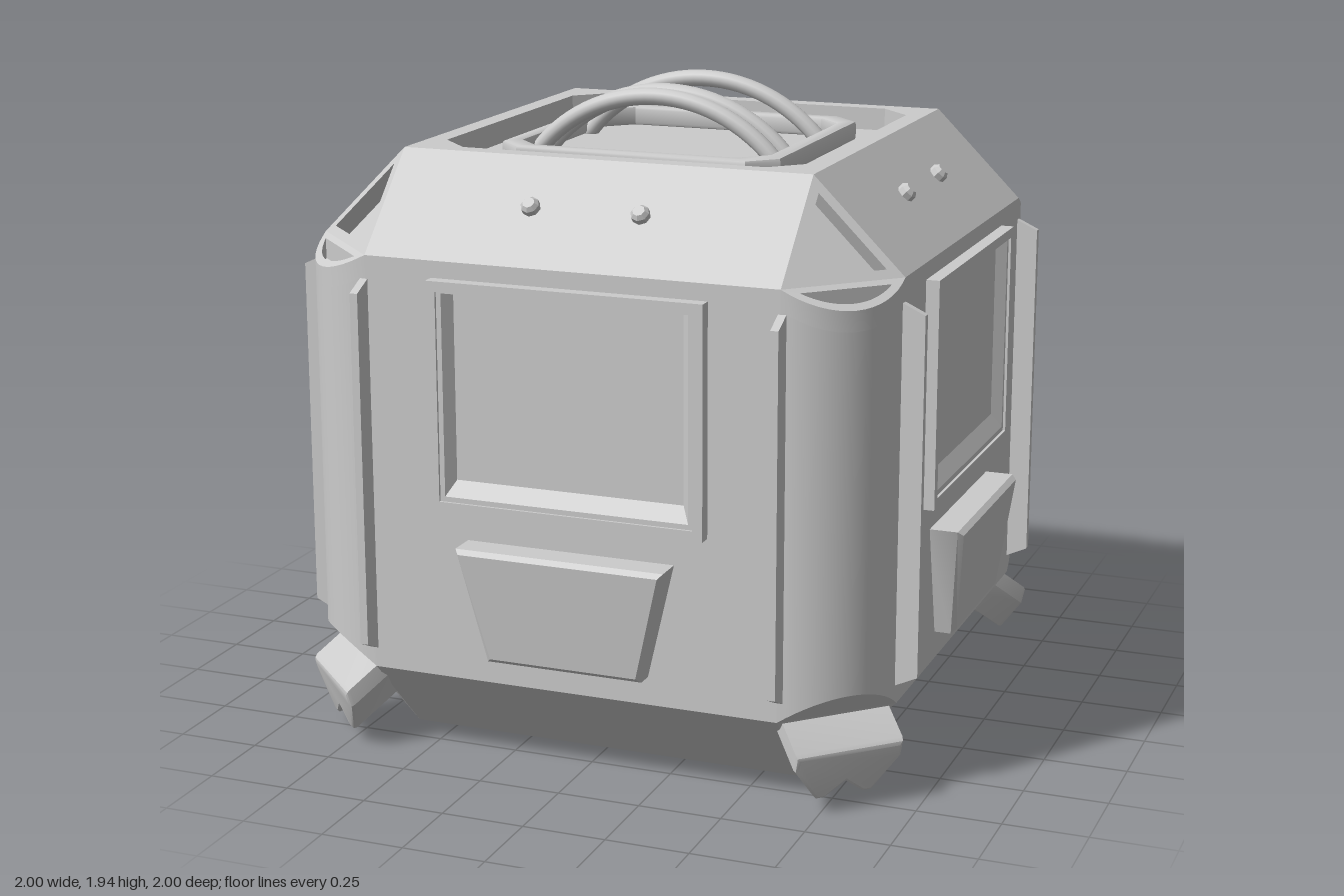
import * as THREE from 'three';
import { toCreasedNormals } from 'three/addons/utils/BufferGeometryUtils.js';

const IN = 0.63, W = 0.9;                    // inner (chamfered) and outer half widths
const Y0 = 0.27, Y1 = 1.52, Y2 = 1.79;       // chamfer heights
const CHORD = (IN + W) / Math.SQRT2;         // distance of the cut corner from the axis
const mat = new THREE.MeshStandardMaterial({ color: 0xcccccc });

function part(name, geo, crease = 0.5) {
  const m = new THREE.Mesh(toCreasedNormals(geo, crease), mat);
  m.name = name;
  return m;
}

// Joins closed rings of points; counter-clockwise seen from the side the rings advance to
function loft(rings, { cap = false, skip = () => false } = {}) {
  const pos = [], n = rings[0].length;
  const tri = (...p) => p.forEach(q => pos.push(...q));
  for (let r = 0; r < rings.length - 1; r++)
    for (let i = 0; i < n; i++) {
      if (skip(r, i)) continue;
      const j = (i + 1) % n, a = rings[r], b = rings[r + 1];
      tri(a[i], a[j], b[j]);
      tri(a[i], b[j], b[i]);
    }
  const last = rings[rings.length - 1];
  if (cap) for (let i = 1; i < n - 1; i++) tri(last[0], last[i], last[i + 1]);
  const g = new THREE.BufferGeometry();
  g.setAttribute('position', new THREE.Float32BufferAttribute(pos, 3));
  return g;
}

const toShape = pts => new THREE.Shape(pts.map(p => new THREE.Vector2(...p)));
function extrude(pts, depth, hole, bevel = 0) {
  const s = toShape(pts);
  if (hole) s.holes.push(toShape(hole));
  return new THREE.ExtrudeGeometry(s, {
    depth, bevelEnabled: bevel > 0, bevelSize: bevel, bevelThickness: bevel, bevelOffset: -bevel, bevelSegments: 2,
  }).deleteAttribute('uv');
}

function warp(geo, fn) {
  const p = geo.attributes.position, v = new THREE.Vector3();
  for (let i = 0; i < p.count; i++) {
    fn(v.fromBufferAttribute(p, i));
    p.setXYZ(i, v.x, v.y, v.z);
  }
  geo.computeVertexNormals();
  return geo;
}

const rect = (x, y0, y1) => [[-x, y0], [x, y0], [x, y1], [-x, y1]];
const octagon = (h, c) => [[-h + c, -h], [h - c, -h], [h, -h + c], [h, h - c], [h - c, h], [-h + c, h], [-h, h - c], [-h, -h + c]];

function shell() {
  const ring = (w, y) => [[-IN, y, w], [IN, y, w], [w, y, IN], [w, y, -IN], [IN, y, -w], [-IN, y, -w], [-w, y, -IN], [-w, y, IN]];
  // upper cut corners stay open for the recessed triangles
  return loft([ring(IN, 0), ring(W, Y0), ring(W, Y1), ring(IN, Y2)], { skip: (r, i) => r === 2 && i % 2 === 1 });
}

// Plan outline of a corner column: arc round (IN, IN)
function arc(radius, half) {
  return Array.from({ length: 17 }, (_, i) => {
    const a = Math.PI / 4 + half * (i / 8 - 1);
    return [IN + radius * Math.cos(a), IN + radius * Math.sin(a)];
  });
}

function cornerParts() {
  const g = new THREE.Group();
  g.name = 'corner';
  const slope = (geo, top) => warp(geo.rotateX(Math.PI / 2).translate(0, top, 0), v => {
    const bulge = (v.x + v.z) / Math.SQRT2 - CHORD;
    v.y += v.y > 0.9 ? -0.75 * bulge : bulge;
  });
  // rounded column with a slotted rim on top
  const outline = arc(W - IN, Math.PI / 4);
  g.add(part('cornerColumn', slope(extrude(outline, Y1 - 0.06 - Y0), Y1 - 0.06)));
  g.add(part('columnRim', slope(extrude(outline, 0.06, arc(0.25, 0.6)), Y1)));

  // triangular frame with recessed floor
  const R = (W - IN) * Math.SQRT2 / Math.sqrt(3);
  const tri = s => [90, 210, 330].map(d => [R * s * Math.cos(d * Math.PI / 180), R * s * Math.sin(d * Math.PI / 180)]);
  const basis = new THREE.Matrix4().makeBasis(
    new THREE.Vector3(1, 0, -1).normalize(), new THREE.Vector3(-1, 2, -1).normalize(), new THREE.Vector3(1, 1, 1).normalize());
  const c = (2 * IN + W) / 3;
  basis.setPosition(c, (2 * Y1 + Y2) / 3, c);
  g.add(part('triangleFrame', extrude(tri(1), 0.06, tri(0.74)).translate(0, 0, -0.06).applyMatrix4(basis)));
  g.add(part('triangleFloor', new THREE.ShapeGeometry(toShape(tri(0.9))).translate(0, 0, -0.05).applyMatrix4(basis)));

  // notched foot, sloping down and outward
  const sole = [[-0.17, 0.19], [-0.17, 0.14], [-0.09, 0.035], [-0.06, 0.035], [0, 0.08], [0.06, 0.035], [0.09, 0.035], [0.17, 0.14], [0.17, 0.19]];
  const foot = warp(extrude(sole, 0.25, null, 0.012), v => {
    const back = 0.262 - v.z;
    v.z = 1.174 - back - (0.19 - v.y) * 0.28;
    v.y += back * 0.75;
  });
  g.add(part('foot', foot.rotateY(Math.PI / 4)));
  return g;
}

function sideParts() {
  const g = new THREE.Group();
  g.name = 'side';
  // window frame with sloped inner lip
  g.add(part('windowFrame', extrude(rect(0.42, 0.79, 1.47), 0.045, rect(0.39, 0.82, 1.44)).translate(0, 0, 0.895)));
  const at = (pts, z) => pts.map(p => [...p, z]);
  g.add(part('windowLip', loft([
    at(rect(0.39, 0.82, 1.44), 0.932), at(rect(0.375, 0.835, 1.435), 0.932), at(rect(0.35, 0.88, 1.43), 0.902)]), 0.2));

  // tapered box below the window
  const trap = (inset, zt, zb) => [[-0.24 + inset, 0.355 + inset, zb], [0.24 - inset, 0.355 + inset, zb],
    [0.32 - inset, 0.70 - inset, zt], [-0.32 + inset, 0.70 - inset, zt]];
  g.add(part('lowerBox', loft([trap(0, 0.89, 0.89), trap(0, 0.985, 0.95), trap(0.013, 1, 0.965)], { cap: true }), 0.6));

  for (const s of [-1, 1]) {
    // upright fins beside the columns
    const fin = extrude([[0.88, 0.32], [0.965, 0.36], [0.965, 1.42], [0.88, 1.46]], 0.024);
    g.add(part('fin', fin.rotateY(-Math.PI / 2).translate(s * 0.635 + 0.012, 0, 0)));
    // bolts on the upper slope
    const bolt = part('bolt', new THREE.LatheGeometry(
      [[0.028, -0.01], [0.028, 0.018], [0.018, 0.03], [0, 0.03]].map(p => new THREE.Vector2(...p)), 8));
    bolt.position.set(s * 0.168, 1.662, IN + Y2 - 1.662);
    bolt.rotation.x = Math.PI / 4;
    g.add(bolt);
  }
  return g;
}

export function createModel() {
  const model = new THREE.Group();
  model.name = 'crate';
  model.add(part('bodyShell', shell()));
  model.add(part('base', new THREE.PlaneGeometry(2 * IN, 2 * IN).rotateX(Math.PI / 2)));

  // recessed roof with a raised ring
  const floorY = 1.72;
  const flat = (geo, y) => geo.rotateX(-Math.PI / 2).translate(0, y, 0);
  model.add(part('roofRim', flat(extrude(rect(IN, -IN, IN), Y2 - floorY, octagon(0.57, 0.1)), floorY)));
  model.add(part('roofFloor', flat(new THREE.PlaneGeometry(1.2, 1.2), floorY)));
  model.add(part('roofRing', flat(extrude(octagon(0.44, 0.08), 0.04, octagon(0.39, 0.075), 0.01), floorY + 0.01)));

  // arched handle bars
  const R = 0.498, half = 0.93;
  const path = new THREE.CatmullRomCurve3(Array.from({ length: 13 }, (_, i) => {
    const a = half * (i / 6 - 1);
    return new THREE.Vector3(R * Math.sin(a), 1.915 - R + R * Math.cos(a), 0);
  }));
  for (const z of [-0.19, 0.12, 0.22]) {
    const bar = part('handleBar', new THREE.TubeGeometry(path, 32, 0.026, 12), 0.8);
    bar.position.z = z;
    model.add(bar);
  }

  // four identical sides and corners
  const side = sideParts(), corner = cornerParts();
  for (let i = 0; i < 4; i++)
    for (const src of [side, corner]) {
      const copy = src.clone();
      copy.rotation.y = i * Math.PI / 2;
      model.add(copy);
    }
  return model;
}
